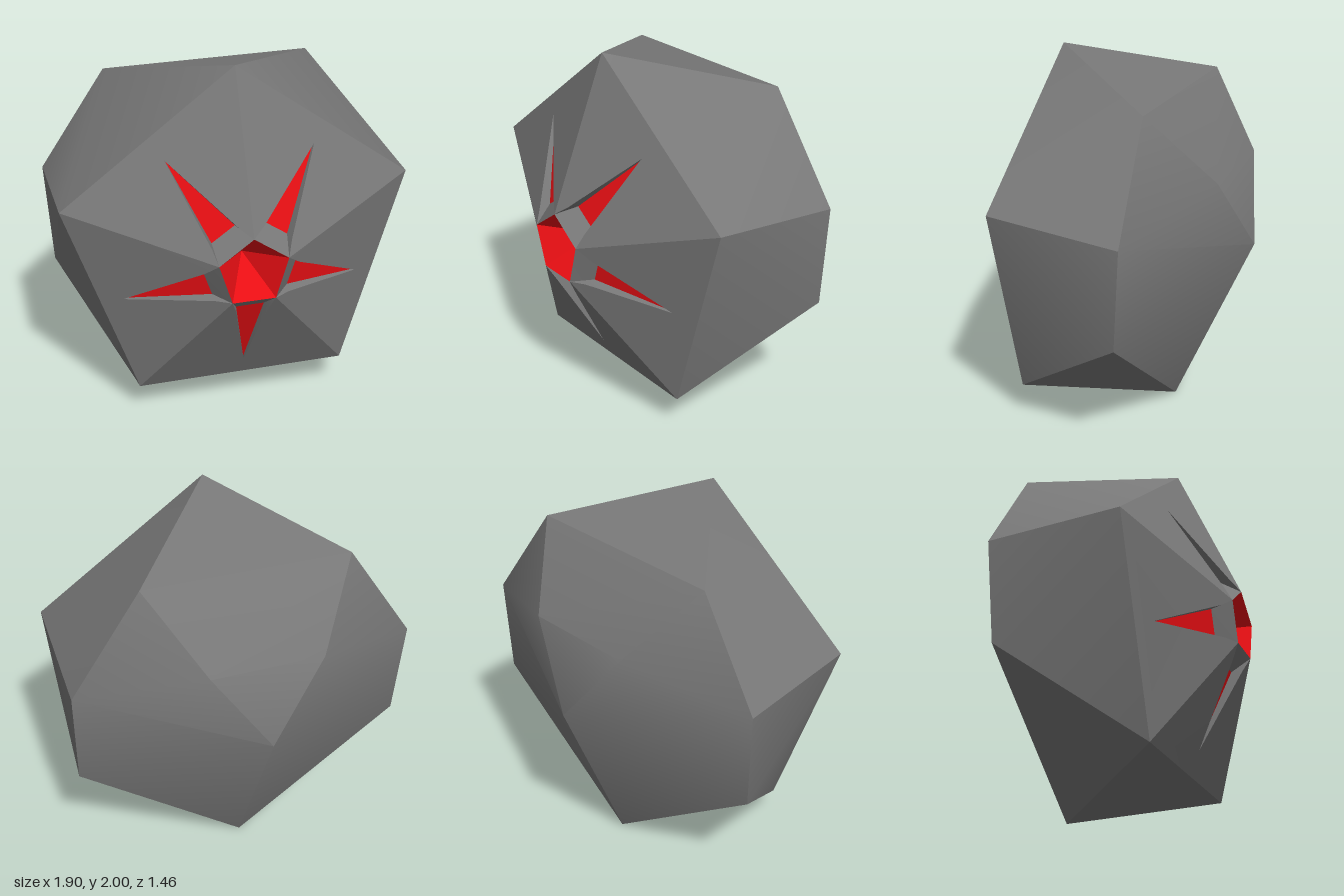
import * as THREE from 'three';
import { toCreasedNormals } from 'three/addons/utils/BufferGeometryUtils.js';

const v = (x, y, z) => new THREE.Vector3(x, y, z);
const ring = (points, z) => points.map(([x, y]) => v(x, y, z));
const CENTRE = v(0, 1, 0), FORWARD = v(0, 0, 1);

// Collects triangles, turning each one to face forward or away from the centre
class Facets {
  constructor() { this.data = []; }
  add(a, b, c, forward = false) {
    const normal = b.clone().sub(a).cross(c.clone().sub(a));
    const out = forward ? FORWARD : a.clone().add(b).add(c).divideScalar(3).sub(CENTRE);
    for (const p of normal.dot(out) < 0 ? [a, c, b] : [a, b, c]) this.data.push(p.x, p.y, p.z);
  }
  // Fan of triangles around the first corner
  fan(points, forward = false) {
    for (let i = 1; i < points.length - 1; i++) this.add(points[0], points[i], points[i + 1], forward);
  }
  mesh(name, material) {
    const g = new THREE.BufferGeometry();
    g.setAttribute('position', new THREE.Float32BufferAttribute(this.data, 3));
    const m = new THREE.Mesh(toCreasedNormals(g, 0.5), material);
    m.name = name;
    return m;
  }
}

export function createModel() {
  const group = new THREE.Group();
  group.name = 'facetedShell';
  const grey = new THREE.MeshStandardMaterial({ color: 0x787878 });
  grey.name = 'shell grey';
  const red = new THREE.MeshStandardMaterial({ color: 0xf51015 });
  red.name = 'core red';

  // Rings of corners, clockwise from the top
  const P = ring([[-0.02, 2], [0.925, 1.335], [0.6, 0.21], [-0.55, 0.18], [-0.935, 1.285]], 0.39);
  const Q = ring([[0.555, 1.825], [0.94, 0.72], [0.02, 0.005], [-0.915, 0.67], [-0.59, 1.795]], -0.3);
  const H = ring([[0, 1.195], [0.185, 1.07], [0.12, 0.845], [-0.11, 0.84], [-0.18, 1.06]], 0.73);
  const tips = [[0.385, 1.57], [0.64, 0.8], [0.02, 0.32], [-0.635, 0.78], [-0.4, 1.55]];
  const apex = v(0, 1, -0.73);

  // Points pushed out on the upper back edges
  const sideBulge = { 0: v(0.948, 1.27, -0.33), 3: v(-0.95, 1.235, -0.33) };
  const backBulge = { 0: v(0.3, 1.43, -0.61), 4: v(-0.32, 1.42, -0.615) };

  // Side belt and back cap
  const body = new Facets();
  for (let i = 0; i < 5; i++) {
    const j = (i + 1) % 5, m = sideBulge[i];
    body.add(P[i], P[j], Q[i]);
    if (m) body.fan([P[j], Q[i], m, Q[j]]);
    else body.add(P[j], Q[i], Q[j]);
  }
  body.fan([sideBulge[0], Q[1], apex, backBulge[0], Q[0]]);
  body.fan([sideBulge[3], Q[3], apex, backBulge[4], Q[4]]);
  body.fan([backBulge[0], Q[0], Q[4], backBulge[4], apex]);
  body.add(Q[1], Q[2], apex);
  body.add(Q[2], Q[3], apex);
  group.add(body.mesh('body', grey));

  // Front face in five sectors, each with a tapering slot
  const front = new Facets(), walls = new Facets(), floors = new Facets(), core = new Facets();
  const coreTip = v(0, 1, 0.47);
  for (let i = 0; i < 5; i++) {
    const j = (i + 1) % 5;
    const mid = H[i].clone().lerp(H[j], 0.5);
    const outer = P[i].clone().lerp(P[j], 0.5);
    const tip = v(tips[i][0], tips[i][1], 0.73);
    const length = tip.distanceTo(mid);
    const along = tip.clone().sub(mid).normalize();
    const across = v(-along.y, along.x, 0);
    const slope = 0.34 / Math.hypot(outer.x - mid.x, outer.y - mid.y);
    tip.z -= slope * length;
    const at = (side, z) => {
      const p = mid.clone().addScaledVector(along, 0.08).addScaledVector(across, side);
      p.z = z;
      return p;
    };
    const rimZ = 0.73 - slope * 0.08;
    const rim = [at(0.087, rimZ), at(-0.087, rimZ)];
    const base = [at(0.075, 0.63), at(-0.075, 0.63)];
    const floorTip = tip.clone().addScaledVector(along, -0.012);
    floorTip.z -= 0.006;

    front.fan([P[i], H[i], rim[0], tip, P[j]], true);
    front.fan([P[j], tip, rim[1], H[j]], true);

    // Sloping bar between the central opening and the slot, then slot walls
    walls.fan([H[i], H[j], base[1], base[0]], true);
    [H[i], H[j]].forEach((h, k) => {
      walls.add(h, rim[k], base[k], true);
      walls.fan([base[k], rim[k], tip, floorTip], true);
    });
    floors.add(base[0], base[1], floorTip, true);
    core.add(H[i], H[j], coreTip, true);
  }
  group.add(front.mesh('frontFace', grey), walls.mesh('slotWalls', grey),
    floors.mesh('slotFloors', red), core.mesh('centralRecess', red));
  return group;
}
